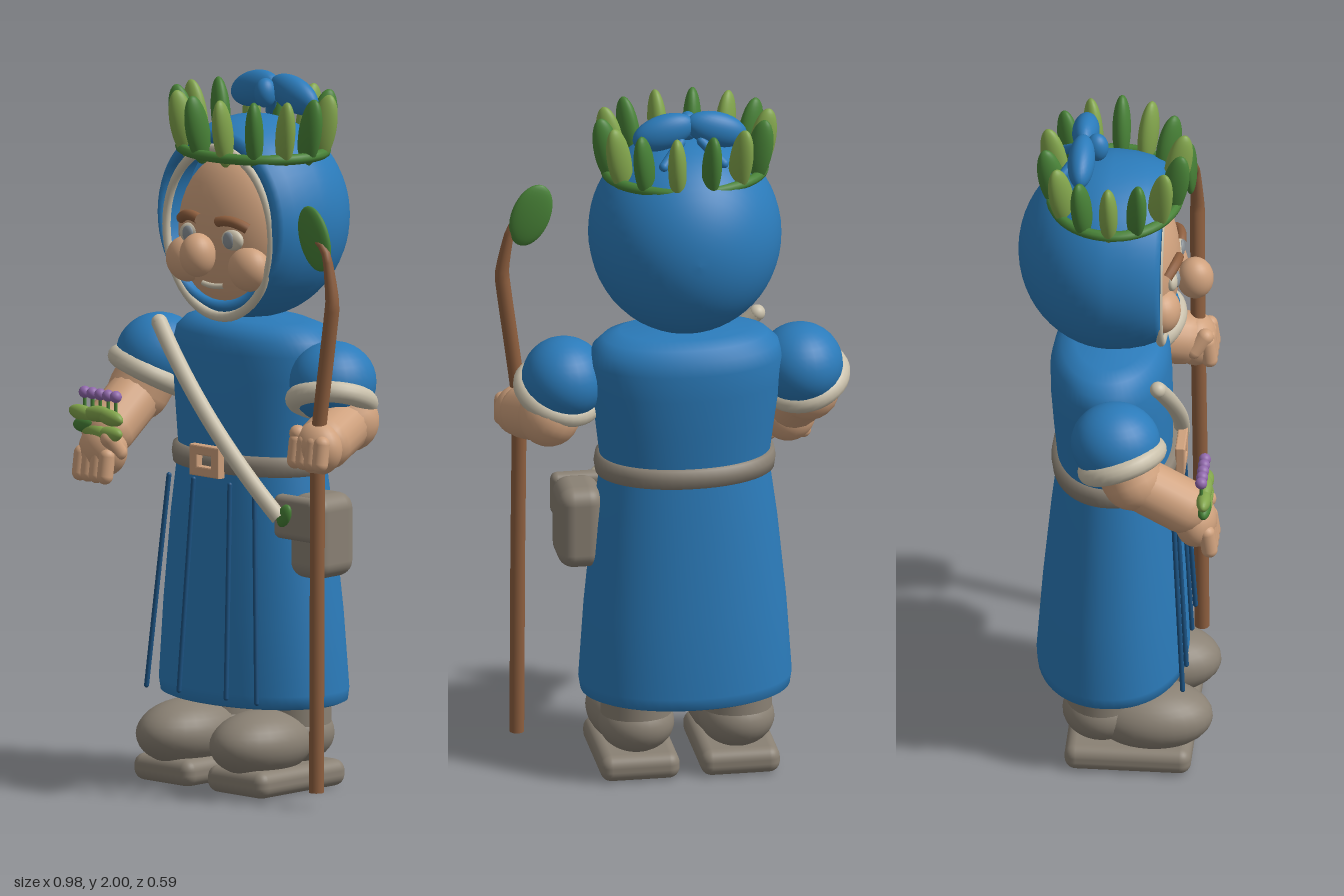
import * as THREE from 'three';
import { mergeVertices } from 'three/addons/utils/BufferGeometryUtils.js';
import { RoundedBoxGeometry } from 'three/addons/geometries/RoundedBoxGeometry.js';

const mat = (name, color) => {
  const m = new THREE.MeshStandardMaterial({ color });
  m.name = name;
  return m;
};

export function createModel() {
  const root = new THREE.Group();
  root.name = 'hoodedTraveller';
  const blue = mat('blueCloth', 0x2b7bba), navy = mat('darkBlueFold', 0x1c5383);
  const skin = mat('skin', 0xcfa17d), brown = mat('brownWood', 0x8e5f3f);
  const cream = mat('creamTrim', 0xc9c0ab), taupe = mat('taupeLeather', 0x8a8174);
  const green = mat('darkLeaf', 0x488237), lime = mat('lightLeaf', 0x82a54c);
  const purple = mat('purpleBead', 0x9169ac), grey = mat('eyeGrey', 0x8b9297);
  blue.side = THREE.DoubleSide;

  const V = (a) => new THREE.Vector3(...a);
  const UP = new THREE.Vector3(0, 1, 0);
  const CX = -0.022; // body axis
  const ball = new THREE.SphereGeometry(1, 28, 18);

  function add(name, geo, m, pos = [0, 0, 0], rot = [0, 0, 0], scale = [1, 1, 1], parent = root) {
    const mesh = new THREE.Mesh(geo, m);
    mesh.name = name;
    mesh.position.set(...pos);
    mesh.rotation.set(...rot);
    mesh.scale.set(...scale);
    parent.add(mesh);
    return mesh;
  }
  const blob = (name, m, pos, size, rot, parent) => add(name, ball, m, pos, rot, size, parent);
  // rounded limb between two points
  function limb(name, m, a, b, r, parent = root) {
    const p = V(a), d = V(b).sub(p);
    const mesh = add(name, new THREE.CapsuleGeometry(r, d.length(), 6, 18), m, undefined, undefined, undefined, parent);
    mesh.position.copy(p).addScaledVector(d, 0.5);
    mesh.quaternion.setFromUnitVectors(UP, d.normalize());
    return mesh;
  }
  // stacked ovals; each ring is [y, half width, back z, front z]
  function loft(name, m, rings) {
    const n = rings.length;
    const geo = new THREE.LatheGeometry(rings.map((r) => new THREE.Vector2(1, r[0])), 56);
    const p = geo.attributes.position;
    const sq = (v) => Math.sign(v) * Math.abs(v) ** 0.95;
    for (let i = 0; i < p.count; i++) {
      const [y, rx, z0, z1] = rings[i % n];
      p.setXYZ(i, CX + sq(p.getX(i)) * rx, y, (z0 + z1) / 2 + sq(p.getZ(i)) * (z1 - z0) / 2);
    }
    geo.deleteAttribute('uv');
    geo.deleteAttribute('normal');
    const g = mergeVertices(geo);
    g.computeVertexNormals();
    return add(name, g, m);
  }

  // robe and belt
  loft('robeTop', blue, [[0.92, 0.237, -0.188, 0.13], [1.05, 0.253, -0.2, 0.132], [1.16, 0.268, -0.208, 0.13],
    [1.235, 0.273, -0.209, 0.125], [1.275, 0.262, -0.2, 0.117], [1.303, 0.232, -0.178, 0.098], [1.32, 0.185, -0.14, 0.065],
    [1.328, 0.001, -0.041, -0.039]]);
  loft('robeSkirt', blue, [[0.25, 0.001, -0.04, -0.038], [0.24, 0.28, -0.232, 0.16], [0.247, 0.295, -0.245, 0.175],
    [0.28, 0.3, -0.248, 0.179], [0.5, 0.285, -0.232, 0.168], [0.75, 0.26, -0.208, 0.152], [0.92, 0.237, -0.188, 0.137]]);
  loft('belt', taupe, [[0.893, 0.235, -0.18, 0.125], [0.897, 0.252, -0.203, 0.147], [0.925, 0.256, -0.207, 0.151],
    [0.95, 0.252, -0.203, 0.147], [0.954, 0.235, -0.18, 0.12]]);
  [[-0.18, -0.235], [-0.085, -0.11], [0.055, 0.072], [0.15, 0.19]].forEach(([t, b]) =>
    limb('robeFold', navy, [t, 0.87, 0.145], [b, 0.27, 0.178], 0.007));

  // buckle
  const corners = (w, h) => [[-w, -h], [w, -h], [w, h], [-w, h]].map((p) => new THREE.Vector2(...p));
  const buckle = new THREE.Shape(corners(0.052, 0.04));
  buckle.holes.push(new THREE.Path(corners(0.03, 0.02).reverse()));
  add('buckle', new THREE.ExtrudeGeometry(buckle, { depth: 0.02, bevelSize: 0.004, bevelThickness: 0.004, bevelSegments: 2 }), skin, [CX, 0.93, 0.147]);

  // shoulder strap and bag
  const strap = new THREE.QuadraticBezierCurve3(V([-0.25, 1.29, 0.11]), V([-0.012, 1.04, 0.185]), V([0.228, 0.793, 0.125]));
  add('shoulderStrap', new THREE.TubeGeometry(strap, 30, 0.023, 14), cream);
  blob('strapEnd', cream, [-0.25, 1.29, 0.11], [0.023, 0.023, 0.023]);
  add('bag', new RoundedBoxGeometry(0.13, 0.238, 0.165, 5, 0.045), taupe, [0.275, 0.738, 0.003]);
  add('bagFlap', new RoundedBoxGeometry(0.16, 0.125, 0.045, 4, 0.02), taupe, [0.26, 0.792, 0.085]);
  blob('bagLeaf', green, [0.243, 0.802, 0.122], [0.022, 0.036, 0.014], [0, 0, -0.5]);

  // hood with a rounded back and an open front
  const prof = [];
  for (let i = 0; i <= 14; i++) {
    const a = (i / 14) * Math.PI / 2;
    prof.push(new THREE.Vector2(Math.sin(a), -0.035 - 0.265 * Math.cos(a)));
  }
  [[0.985, 0.02], [0.95, 0.065], [0.9, 0.1], [0.86, 0.113], [0.78, 0.115], [0.77, 0.02]].forEach((p) => prof.push(new THREE.Vector2(...p)));
  add('hood', new THREE.LatheGeometry(prof, 56).rotateX(Math.PI / 2), blue, [CX, 1.605, 0], [0, 0, 0], [0.27, 0.287, 1]);
  add('hoodTrim', new THREE.TorusGeometry(1, 0.06, 12, 56), cream, [CX, 1.572, 0.108], [0, 0, 0], [0.203, 0.238, 0.2]);

  // face
  const face = new THREE.Group();
  face.name = 'face';
  face.position.x = CX;
  root.add(face);
  blob('head', skin, [0, 1.56, 0.03], [0.2, 0.232, 0.124], undefined, face);
  blob('nose', skin, [0, 1.52, 0.195], [0.05, 0.062, 0.052], undefined, face);
  for (const s of [-1, 1]) {
    blob('cheek', skin, [s * 0.12, 1.485, 0.11], [0.065, 0.065, 0.055], undefined, face);
    blob('eye', cream, [s * 0.08, 1.565, 0.138], [0.04, 0.03, 0.018], undefined, face);
    blob('iris', grey, [s * 0.078, 1.565, 0.151], [0.021, 0.024, 0.009], undefined, face);
    const arc = new THREE.QuadraticBezierCurve3(V([s * 0.038, 1.613, 0.152]), V([s * 0.085, 1.63, 0.154]), V([s * 0.128, 1.6, 0.126]));
    add('eyebrow', new THREE.TubeGeometry(arc, 12, 0.015, 10), brown, undefined, undefined, undefined, face);
  }
  const lips = new THREE.QuadraticBezierCurve3(V([-0.04, 1.428, 0.13]), V([0, 1.42, 0.136]), V([0.04, 1.428, 0.13]));
  add('mouth', new THREE.TubeGeometry(lips, 10, 0.008, 8), cream, undefined, undefined, undefined, face);

  // leaf crown
  const crown = new THREE.Group();
  crown.name = 'leafCrown';
  crown.position.set(CX, 1.8, -0.03);
  root.add(crown);
  add('crownBand', new THREE.TorusGeometry(1, 0.075, 10, 56).rotateX(Math.PI / 2), green, [0, -0.005, 0], [0, 0, 0], [0.22, 0.2, 0.183], crown);
  for (let i = 0; i < 14; i++) {
    const a = (i + 0.5) * Math.PI * 2 / 14;
    const leaf = blob('crownLeaf', i % 2 ? green : lime, [Math.sin(a) * 0.22, 0.063, Math.cos(a) * 0.178], [0.026, 0.1, 0.037], undefined, crown);
    leaf.rotation.set(0.2, a, 0, 'YXZ');
  }

  // bow on the hood
  for (const s of [-1, 1]) {
    blob('bowLoop', blue, [CX + s * 0.075, 1.945, -0.118], [0.09, 0.05, 0.038], [0, 0, -s * 0.3]);
    limb('bowTail', blue, [CX + s * 0.03, 1.92, -0.14], [CX + s * 0.085, 1.87, -0.19], 0.014);
  }
  blob('bowKnot', blue, [CX, 1.945, -0.08], [0.03, 0.042, 0.032]);

  // sleeves, arms and hands
  const sides = [
    { name: 'rightArm', s: -1, sh: [-0.355, 1.175, 0], el: [-0.385, 1.075, 0.05], wr: [-0.37, 0.985, 0.19], hand: [-0.358, 0.93, 0.225], fy: -0.035 },
    { name: 'leftArm', s: 1, sh: [0.315, 1.175, 0], el: [0.36, 1.07, -0.015], wr: [0.4, 1.03, 0.12], hand: [0.41, 1.02, 0.16], fy: -0.005 },
  ];
  for (const { name, s, sh, el, wr, hand, fy } of sides) {
    const arm = new THREE.Group();
    arm.name = name;
    root.add(arm);
    blob('sleeve', blue, sh, [0.119, 0.116, 0.126], undefined, arm);
    const dir = V([s * 0.25, -0.88, 0.35]).normalize();
    const cuff = add('cuff', new THREE.TorusGeometry(0.1, 0.031, 14, 36), cream, undefined, undefined, undefined, arm);
    cuff.position.copy(V(sh)).addScaledVector(dir, 0.055);
    cuff.quaternion.setFromUnitVectors(new THREE.Vector3(0, 0, 1), dir);
    limb('upperArm', skin, sh, el, 0.088, arm);
    limb('forearm', skin, el, wr, 0.078, arm);
    blob('palm', skin, hand, [0.076, 0.076, 0.06], undefined, arm);
    for (let i = 0; i < 4; i++) {
      const x = hand[0] + (i - 1.5) * 0.032, y = hand[1] + fy, z = hand[2] + 0.043;
      limb('finger', skin, [x, y + 0.025, z - 0.008], [x, y - 0.03, z], 0.023, arm);
    }
    limb('thumb', skin, [hand[0] - s * 0.06, hand[1], hand[2]], [hand[0] - s * 0.05, hand[1] + 0.04, hand[2] + 0.03], 0.024, arm);
  }

  // leaf and bead bracelet
  [[-0.41, 1.03, lime, 0.052], [-0.355, 1.035, lime, 0.055], [-0.305, 1.03, lime, 0.047], [-0.4, 1.0, green, 0.045],
    [-0.36, 0.985, lime, 0.06], [-0.308, 0.982, lime, 0.047]].forEach(([x, y, m, l], i) =>
    blob('braceletLeaf', m, [x, y, 0.252], [l, 0.023, 0.02], [0, 0, i % 2 ? 0.12 : -0.12]));
  for (let i = 0; i < 5; i++) {
    const x = -0.41 + i * 0.03;
    limb('beadStem', green, [x, 1.035, 0.245], [x, 1.085, 0.245], 0.005);
    blob('bead', purple, [x, 1.09, 0.245], [0.017, 0.017, 0.017]);
  }

  // staff with a bent top and a leaf at its tip
  const path = new THREE.CatmullRomCurve3([[0.42, 0.045, 0.177], [0.418, 0.6, 0.172], [0.416, 1.05, 0.166], [0.465, 1.43, 0.16],
    [0.442, 1.565, 0.157], [0.415, 1.6, 0.155], [0.37, 1.615, 0.155]].map(V), false, 'catmullrom', 0.15);
  const staffGeo = new THREE.TubeGeometry(path, 60, 0.021, 14);
  const sp = staffGeo.attributes.position;
  for (let i = 0; i < sp.count; i++) { // taper the crook
    const t = Math.floor(i / 15) / 60, c = path.getPointAt(t), k = t > 0.85 ? 1 - (t - 0.85) * 4 : 1;
    const v = new THREE.Vector3().fromBufferAttribute(sp, i).sub(c).multiplyScalar(k).add(c);
    sp.setXYZ(i, v.x, v.y, v.z);
  }
  add('staff', staffGeo, brown);
  add('staffFoot', new THREE.CircleGeometry(0.021, 14), brown, [0.42, 0.045, 0.177], [Math.PI / 2, 0, 0]);
  blob('staffLeaf', green, [0.385, 1.61, 0.148], [0.056, 0.094, 0.018], [0, 0, 0.35]);

  // legs and boots
  for (const s of [-1, 1]) {
    const x = CX + s * 0.142;
    add('bootShaft', new THREE.CylinderGeometry(0.1, 0.1, 0.2, 28), taupe, [x, 0.23, -0.055]);
    blob('bootAnkle', taupe, [x, 0.15, -0.055], [0.107, 0.085, 0.11]);
    blob('bootToe', taupe, [x, 0.138, 0.085], [0.118, 0.094, 0.172]);
    add('bootSole', new RoundedBoxGeometry(0.225, 0.076, 0.355, 4, 0.032), taupe, [x, 0.038, 0.025]);
  }
  return root;
}
